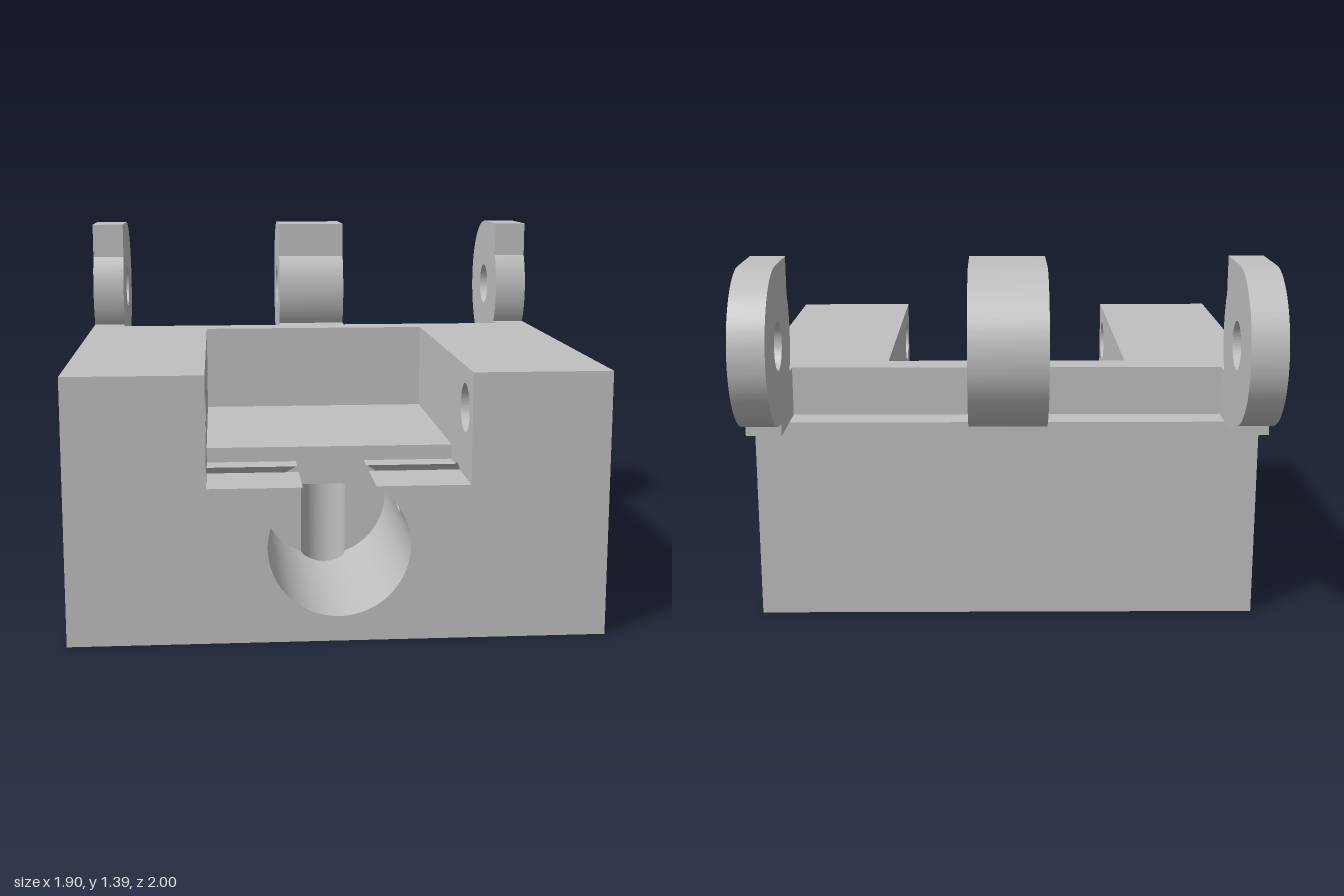
import * as THREE from 'three';
import { toCreasedNormals } from 'three/addons/utils/BufferGeometryUtils.js';

const grey = new THREE.MeshStandardMaterial({ color: 0xc0c0c0, side: THREE.DoubleSide });
grey.name = 'light grey';

const W = 0.95, IN = 0.46;               // half widths of block and pocket
const R = 0.088;                         // radius of all small holes
const BORE = { y: 0.34, r: 0.25, z: 0.24 };
const CROSS = { y: 0.48, z: 0.715 };     // lower cross hole
const FLOOR = 0.555, REAR_FLOOR = 0.61, STEP_Z = 0.58;
const { PI, sin, cos, sqrt, asin, acos } = Math;
const V = (x, y, z) => new THREE.Vector3(x, y, z);

export function createModel() {
  const model = new THREE.Group();
  const add = (name, geo) => {
    const m = new THREE.Mesh(geo, grey);
    m.name = name;
    model.add(m);
    return m;
  };
  const poly = (pts) => new THREE.Shape(pts.map(([a, b]) => new THREE.Vector2(a, b)));
  const hole = (shape, x, y, r = R) => {
    const p = new THREE.Path();
    p.absarc(x, y, r, 0, 2 * PI, true);
    shape.holes.push(p);
  };
  // extrude a (z, y) profile from x0 to x1
  const extrudeX = (shape, x0, x1) => {
    const g = new THREE.ExtrudeGeometry(shape, { depth: x1 - x0, bevelEnabled: false, curveSegments: 48 });
    g.rotateY(-PI / 2).translate(x1, 0, 0);
    return toCreasedNormals(g, 0.5);
  };
  // ruled surface between two curves of an angle
  const ruled = (t0, t1, n, a, b) => {
    const pos = [], idx = [];
    for (let i = 0; i <= n; i++) {
      const t = t0 + ((t1 - t0) * i) / n;
      pos.push(...a(t).toArray(), ...b(t).toArray());
      if (i < n) {
        const k = 2 * i;
        idx.push(k, k + 1, k + 3, k, k + 3, k + 2);
      }
    }
    const g = new THREE.BufferGeometry();
    g.setAttribute('position', new THREE.Float32BufferAttribute(pos, 3));
    g.setIndex(idx);
    g.computeVertexNormals();
    return g;
  };
  const faceZ = (shape, z) => new THREE.ShapeGeometry(shape, 64).translate(0, 0, z);
  const faceDown = (shape, y) => new THREE.ShapeGeometry(shape, 64).rotateX(PI / 2).translate(0, y, 0);
  const floor = (x0, x1, z0, z1, y) => new THREE.PlaneGeometry(x1 - x0, z1 - z0)
    .rotateX(-PI / 2).translate((x0 + x1) / 2, y, (z0 + z1) / 2);

  // solid sides with two cross holes each
  const side = poly([[1, 0], [1, 0.95], [-0.4, 0.95], [-0.4, 0.765], [-0.52, 0.765], [-0.52, 0]]);
  hole(side, 0.85, 0.8);
  hole(side, CROSS.z, CROSS.y);
  add('leftSide', extrudeX(side, IN, W));
  add('rightSide', extrudeX(side, -W, -IN));

  // wall behind the pocket
  add('rearWall', extrudeX(poly([[-0.28, 0], [-0.28, 0.95], [-0.4, 0.95],
    [-0.4, 0.765], [-0.52, 0.765], [-0.52, 0]]), -IN, IN));

  // underside with the vertical hole
  const under = poly([[-IN, -0.28], [IN, -0.28], [IN, 1], [-IN, 1]]);
  hole(under, 0, BORE.z);
  add('underside', faceDown(under, 0));

  // front face below the pocket, cut by the bore
  const alpha = asin((FLOOR - BORE.y) / BORE.r);
  const chord = BORE.r * cos(alpha);
  const front = poly([[-IN, 0], [IN, 0], [IN, FLOOR], [chord, FLOOR]]);
  front.absarc(0, BORE.y, BORE.r, alpha, PI - alpha, true);
  front.lineTo(-IN, FLOOR);
  add('frontFace', faceZ(front, 1));

  // small step in the pocket floor
  const step = poly([[IN, FLOOR], [chord, FLOOR]]);
  step.absarc(0, BORE.y, BORE.r, alpha, PI - alpha, false);
  step.lineTo(-IN, FLOOR);
  step.lineTo(-IN, REAR_FLOOR);
  step.lineTo(IN, REAR_FLOOR);
  add('floorStep', faceZ(step, STEP_Z));

  // pocket floors, open over the cross hole
  add('rearFloor', floor(-IN, IN, -0.28, STEP_Z, REAR_FLOOR));
  const slot = sqrt(R * R - (FLOOR - CROSS.y) ** 2);
  for (const [x0, x1] of [[-IN, -chord], [chord, IN]]) {
    add('frontFloor', floor(x0, x1, STEP_Z, CROSS.z - slot, FLOOR));
    add('frontFloor', floor(x0, x1, CROSS.z + slot, 1, FLOOR));
  }

  // bore wall, cut by the cross hole and the vertical hole
  const borePoint = (t, z) => V(BORE.r * cos(t), BORE.y + BORE.r * sin(t), z);
  const half = (d) => sqrt(Math.max(0, R * R - d * d));
  const gap = (t) => half(BORE.y + BORE.r * sin(t) - CROSS.y);
  const start = (t) => BORE.z + (sin(t) < 0 ? half(BORE.r * cos(t)) : 0);
  add('boreRear', ruled(PI - alpha, 2 * PI + alpha, 200,
    (t) => borePoint(t, start(t)), (t) => borePoint(t, CROSS.z - gap(t))));
  add('boreFront', ruled(PI - alpha, 2 * PI + alpha, 200,
    (t) => borePoint(t, CROSS.z + gap(t)), (t) => borePoint(t, 1)));
  add('boreRoof', ruled(alpha, PI - alpha, 32,
    (t) => borePoint(t, BORE.z), (t) => borePoint(t, STEP_Z)));

  // end of the bore, notched by the vertical hole
  const top = 0.385, th = acos(R / BORE.r);
  const end = new THREE.Shape();
  end.absarc(0, BORE.y, BORE.r, -th, PI + th, false);
  end.lineTo(-R, top);
  end.lineTo(R, top);
  add('boreEnd', faceZ(end, BORE.z));

  // vertical hole
  const vert = (t, y) => V(R * cos(t), y, BORE.z + R * sin(t));
  const boreBottom = (t) => BORE.y - sqrt(BORE.r ** 2 - (R * cos(t)) ** 2);
  add('verticalHoleFront', ruled(0, PI, 32, (t) => vert(t, boreBottom(t)), (t) => vert(t, 0)));
  add('verticalHoleRear', ruled(PI, 2 * PI, 32, (t) => vert(t, top), (t) => vert(t, 0)));
  const cap = new THREE.Shape();
  cap.absarc(0, BORE.z, R, PI, 2 * PI, false);
  add('verticalHoleCap', faceDown(cap, top));

  // cross hole between the sides and the bore
  const beta = asin((FLOOR - CROSS.y) / R);
  for (const s of [1, -1]) {
    const outer = (t) => V(s * IN, CROSS.y + R * sin(t), CROSS.z + R * cos(t));
    const inner = (t) => {
      const p = outer(t);
      p.x = s * sqrt(BORE.r ** 2 - (p.y - BORE.y) ** 2);
      return p;
    };
    add('crossHole', ruled(PI - beta, 2 * PI + beta, 48, s > 0 ? outer : inner, s > 0 ? inner : outer));
  }

  // hinge lugs
  const cz = -0.712, cy = 1.098, lr = 0.288, flat = -0.465;
  const d = acos((flat - cz) / lr);
  const lug = poly([[-0.4, 0.765], [cz, 0.765], [cz, cy - lr]]);
  lug.absarc(cz, cy, lr, -PI / 2, PI / 2, true);
  lug.lineTo(flat, cy + lr);
  lug.lineTo(flat, cy + lr * sin(d));
  lug.absarc(cz, cy, lr, d, -d, true);
  lug.lineTo(flat, 0.95);
  lug.lineTo(-0.4, 0.95);
  hole(lug, cz, cy);
  add('leftLug', extrudeX(lug, 0.82, W));
  add('middleLug', extrudeX(lug, -0.14, 0.14));
  add('rightLug', extrudeX(lug, -W, -0.82));

  return model;
}
